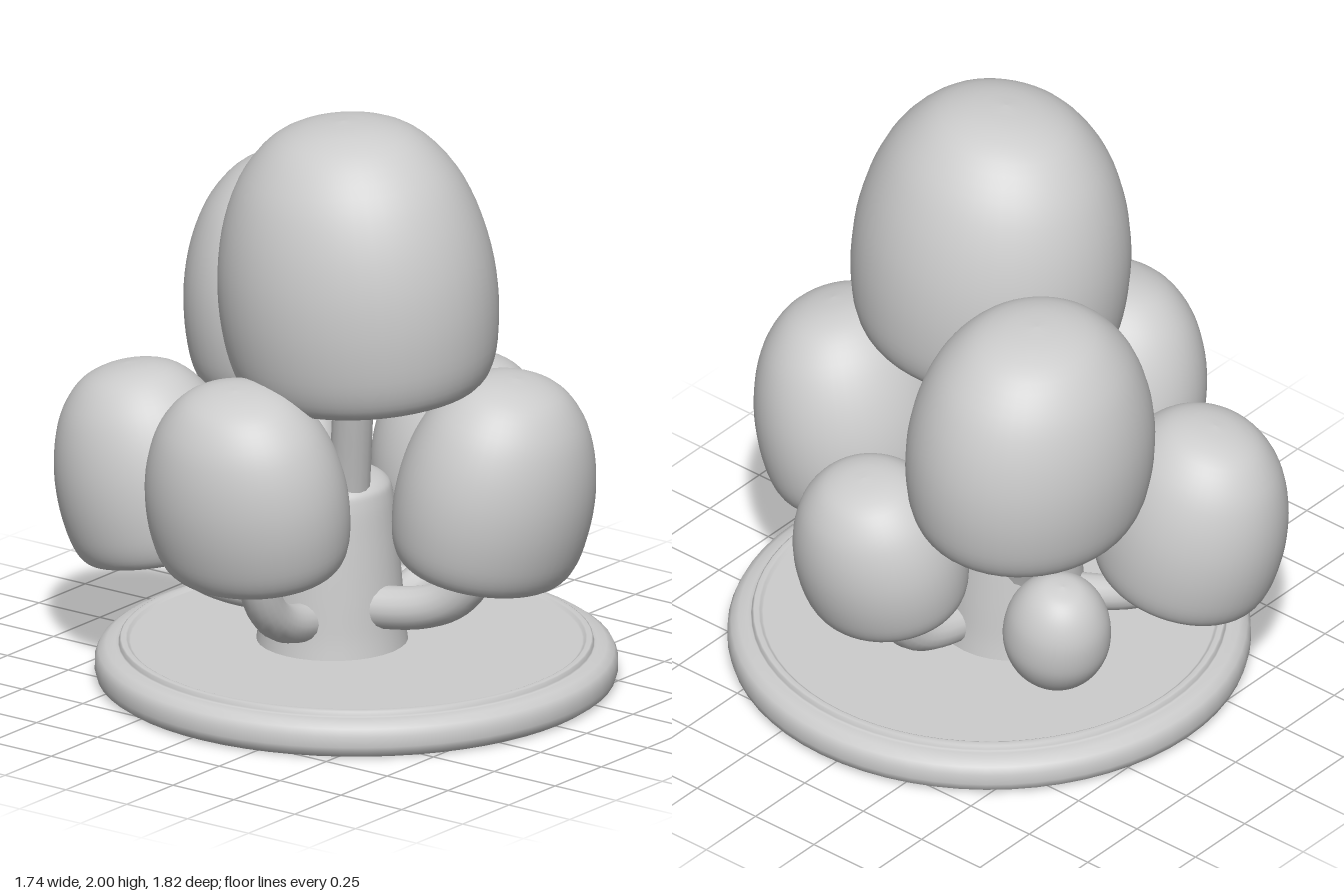
import * as THREE from 'three';

const grey = new THREE.MeshStandardMaterial({ color: 0xcccccc });
grey.name = 'light grey';

function lathe(points, segments) {
  return new THREE.LatheGeometry(points.map(([x, y]) => new THREE.Vector2(x, y)), segments);
}

function smoothLathe(points, segments) {
  const spline = new THREE.SplineCurve(points.map(([x, y]) => new THREE.Vector2(x, y)));
  return lathe(spline.getPoints(48).map((p) => [Math.max(p.x, 0), p.y]), segments);
}

// Cap profiles, radius and height both 0..1, from underside to crown
const bell = [
  [0, 0.2], [0.4, 0.19], [0.63, 0.15], [0.69, 0.06], [0.75, 0.01], [0.83, 0.01], [0.91, 0.06],
  [0.97, 0.16], [1, 0.32], [0.98, 0.49], [0.9, 0.66], [0.76, 0.81], [0.54, 0.93], [0.28, 0.985], [0, 1],
];
const bud = [
  [0, 0], [0.32, 0.02], [0.62, 0.08], [0.87, 0.22], [1, 0.42], [0.94, 0.66], [0.72, 0.85],
  [0.4, 0.965], [0, 1],
];

// Stem bends: outward and upward fractions of the two middle control points
const sprawling = [0.75, 0, 0.88, 0.2];
const upright = [0.2, 0.3, 0.8, 0.6];

function addMesh(parent, name, geometry) {
  const mesh = new THREE.Mesh(geometry, grey);
  mesh.name = name;
  parent.add(mesh);
  return mesh;
}

// root: stem start, at: cap centre, size: x radius, height, z radius, lean: x and z tilt of the crown
function addMushroom(model, name, profile, bend, stemRadius, root, at, size, lean) {
  const group = new THREE.Group();
  group.name = name + 'Mushroom';
  model.add(group);

  const start = new THREE.Vector3(...root);
  const end = new THREE.Vector3(...at);
  const control = (out, up) => new THREE.Vector3(
    THREE.MathUtils.lerp(start.x, end.x, out),
    THREE.MathUtils.lerp(start.y, end.y, up),
    THREE.MathUtils.lerp(start.z, end.z, out));
  const curve = new THREE.CubicBezierCurve3(
    start, control(bend[0], bend[1]), control(bend[2], bend[3]), end);
  addMesh(group, name + 'Stem', new THREE.TubeGeometry(curve, 28, stemRadius, 16));

  const geometry = smoothLathe(profile, 48);
  geometry.translate(0, -0.4, 0).scale(...size);
  const cap = addMesh(group, name + 'Cap', geometry);
  cap.position.copy(end);
  cap.quaternion.setFromUnitVectors(
    new THREE.Vector3(0, 1, 0), new THREE.Vector3(lean[0], 1, lean[1]).normalize());
}

export function createModel() {
  const model = new THREE.Group();
  model.name = 'mushroomCluster';

  // Round plinth with a rolled edge and a thin raised bead
  const base = addMesh(model, 'base', lathe([
    [0, 0], [0.82, 0], [0.83, 0.001], [0.85, 0.015], [0.857, 0.04], [0.856, 0.075], [0.845, 0.1],
    [0.82, 0.117], [0.79, 0.12], [0.78, 0.121], [0.777, 0.125], [0.775, 0.137], [0.77, 0.14],
    [0.755, 0.14], [0.75, 0.138], [0.745, 0.131], [0.74, 0.13], [0, 0.13],
  ], 64));
  base.position.set(0.008, 0, 0.048);

  // Shared thick trunk
  const trunk = addMesh(model, 'trunk', smoothLathe([
    [0.25, 0.12], [0.24, 0.2], [0.23, 0.33], [0.215, 0.5], [0.2, 0.63], [0.18, 0.68],
    [0.12, 0.705], [0, 0.71],
  ], 32));
  trunk.position.set(-0.02, 0, -0.03);

  // Two tall mushrooms rising from the trunk
  addMushroom(model, 'tallest', bell, upright, 0.068,
    [-0.04, 0.5, 0.05], [-0.17, 1.445, 0.185], [0.435, 0.92, 0.473], [-0.06, -0.06]);
  addMushroom(model, 'tallBack', bell, upright, 0.072,
    [0.06, 0.35, -0.13], [0.31, 1.18, -0.385], [0.437, 0.785, 0.387], [0.03, -0.08]);

  // Lower mushrooms curving out around it
  addMushroom(model, 'front', bell, sprawling, 0.072,
    [-0.05, 0.28, 0.1], [0.05, 0.742, 0.59], [0.35, 0.675, 0.315], [0.03, 0.2]);
  addMushroom(model, 'right', bell, sprawling, 0.065,
    [-0.1, 0.24, 0], [-0.57, 0.78, 0.035], [0.3, 0.645, 0.353], [-0.2, 0.02]);
  addMushroom(model, 'left', bell, sprawling, 0.065,
    [0.1, 0.2, 0.02], [0.542, 0.665, 0.068], [0.27, 0.535, 0.295], [0.23, 0.02]);
  addMushroom(model, 'back', bell, sprawling, 0.06,
    [-0.07, 0.27, -0.1], [-0.275, 0.65, -0.585], [0.297, 0.645, 0.325], [-0.07, -0.2]);
  addMushroom(model, 'bud', bud, sprawling, 0.045,
    [0.08, 0.19, -0.12], [0.28, 0.405, -0.468], [0.172, 0.42, 0.18], [0.12, -0.22]);
  return model;
}
